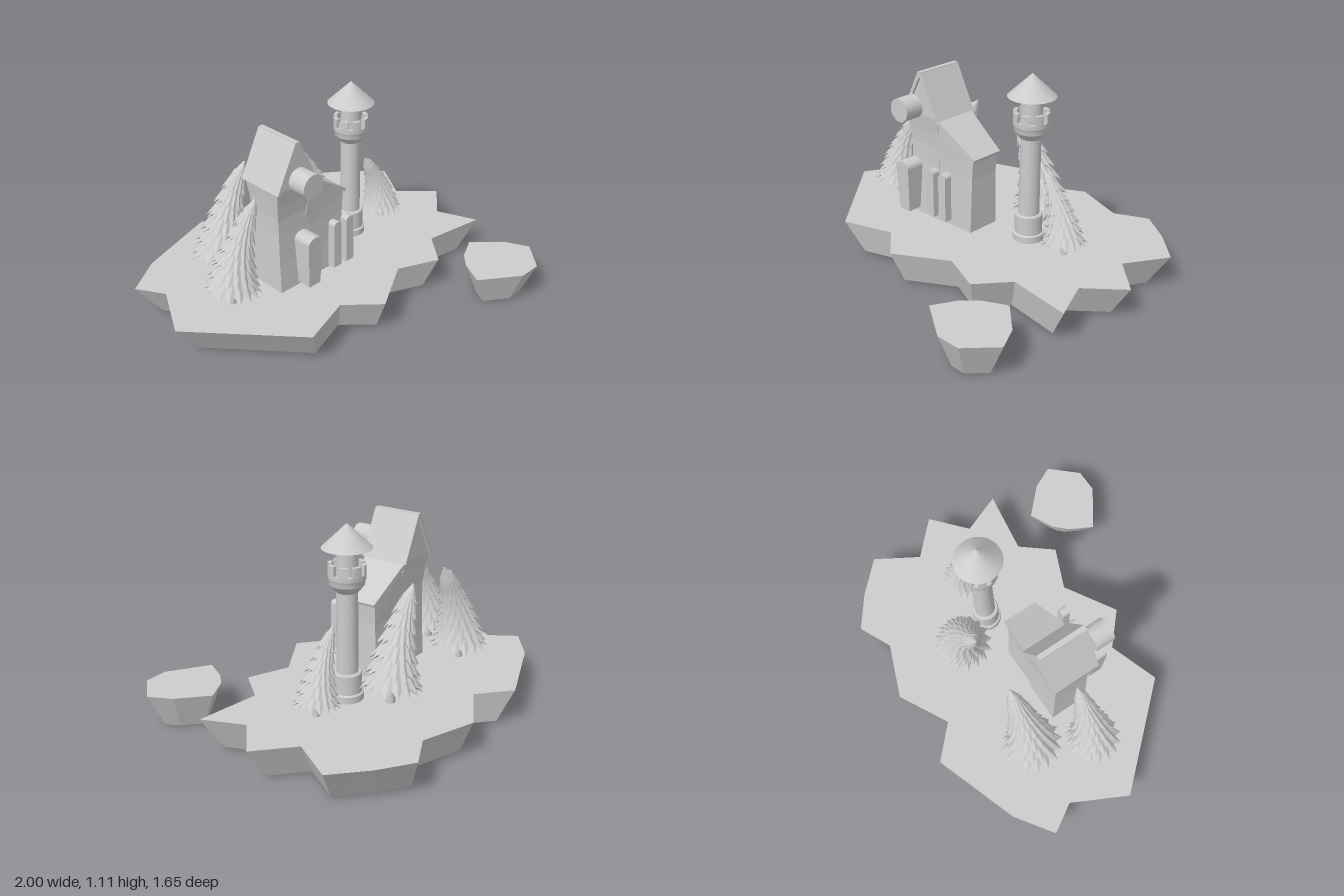
import * as THREE from 'three';
import { toCreasedNormals } from 'three/addons/utils/BufferGeometryUtils.js';

const grey = new THREE.MeshStandardMaterial({ color: 0xcccccc });
grey.name = 'stone grey';
const GROUND = 0.192;

function part(name, geometry, parent) {
  const mesh = new THREE.Mesh(geometry, grey);
  mesh.name = name;
  parent.add(mesh);
  return mesh;
}

// Flat-faced skin through matching rings of [x, y, z], capped at both ends
function loft(rings) {
  const pos = [];
  const tri = (a, b, c) => pos.push(...a, ...b, ...c);
  for (let r = 0; r + 1 < rings.length; r++) {
    const lo = rings[r], hi = rings[r + 1];
    lo.forEach((p, i) => {
      const j = (i + 1) % lo.length;
      tri(p, hi[i], lo[j]);
      tri(hi[i], hi[j], lo[j]);
    });
  }
  const cap = (ring, up) => {
    const flat = ring.map((p) => new THREE.Vector2(p[0], p[2]));
    for (const [i, j, k] of THREE.ShapeUtils.triangulateShape(flat, [])) {
      const [a, b, c] = [ring[i], ring[j], ring[k]];
      const ny = (b[2] - a[2]) * (c[0] - a[0]) - (b[0] - a[0]) * (c[2] - a[2]);
      if ((ny > 0) === up) tri(a, b, c); else tri(a, c, b);
    }
  };
  cap(rings[0], false);
  cap(rings[rings.length - 1], true);
  const g = new THREE.BufferGeometry();
  g.setAttribute('position', new THREE.Float32BufferAttribute(pos, 3));
  g.computeVertexNormals();
  return g;
}

const rect = (cx, y, cz, hx, hz) =>
  [[-1, -1], [1, -1], [1, 1], [-1, 1]].map(([a, b]) => [cx + a * hx, y, cz + b * hz]);

function extrude(points, z0, z1) {
  const shape = new THREE.Shape(points.map(([x, y]) => new THREE.Vector2(x, y)));
  return new THREE.ExtrudeGeometry(shape, { depth: z1 - z0, bevelEnabled: false }).translate(0, 0, z0);
}

// Rock slab: the outline shrinks toward its underside
function rock(name, outline, yLow, yHigh, scale, offset, parent) {
  part(name, loft([
    outline.map(([x, z]) => [x * scale[0] + offset[0], yLow, z * scale[1] + offset[1]]),
    outline.map(([x, z]) => [x, yHigh, z]),
  ]), parent);
}

// Arched panel, optionally narrowing toward its foot in width and depth
function arch(name, cx, halfWidth, y0, y1, rise, z0, z1, foot, parent) {
  const pts = [[-halfWidth, y0], [halfWidth, y0]];
  for (let i = 0; i <= 12; i++) {
    const a = (i / 12) * Math.PI;
    pts.push([halfWidth * Math.cos(a), y1 - rise + rise * Math.sin(a)]);
  }
  const g = extrude(pts, z0, z1), p = g.attributes.position, mid = (z0 + z1) / 2;
  for (let i = 0; i < p.count; i++) {
    const s = THREE.MathUtils.lerp(foot, 1, Math.min(1, (p.getY(i) - y0) / (y1 - rise - y0)));
    p.setX(i, cx + p.getX(i) * s);
    p.setZ(i, mid + (p.getZ(i) - mid) * s);
  }
  g.computeVertexNormals();
  part(name, g, parent);
}

function makeHouse(parent) {
  const house = new THREE.Group();
  house.name = 'house';
  parent.add(house);
  const cx = -0.305, cz = -0.068;

  // Walls pinch at the waist and flare under the eaves
  const profile = [[GROUND, 0.11, 0.112], [0.35, 0.107, 0.104], [0.52, 0.105, 0.1],
    [0.62, 0.107, 0.1], [0.7, 0.115, 0.108], [0.79, 0.126, 0.122]];
  part('mainWalls', loft(profile.map(([y, hx, hz]) => rect(cx, y, cz, hx, hz))), house);
  part('gable', extrude([[cx - 0.126, 0.789], [cx + 0.126, 0.789], [cx, 1.012]], cz - 0.122, cz + 0.122), house);
  part('mainRoof', extrude([[cx - 0.135, 0.785], [cx - 0.12, 0.782], [cx, 1.008], [cx + 0.12, 0.782],
    [cx + 0.135, 0.785], [cx + 0.014, 1.03], [cx - 0.014, 1.03]], -0.205, 0.069), house);
  part('ridge', new THREE.BoxGeometry(0.028, 0.01, 0.274).translate(cx, 1.028, cz), house);

  // Lean-to annex with a sloping, tapering roof
  const sloped = (xl, xr, yl, yr, zl, zr) => [[xl, yl, cz - zl], [xr, yr, cz - zr], [xr, yr, cz + zr], [xl, yl, cz + zl]];
  part('annexWalls', loft([
    sloped(-0.24, 0.04, GROUND, GROUND, 0.104, 0.1),
    sloped(-0.24, 0.042, 0.5, 0.5, 0.098, 0.09),
    sloped(-0.2, 0.05, 0.775, 0.612, 0.112, 0.092),
  ]), house);
  part('annexRoof', loft([
    sloped(-0.2, 0.06, 0.775, 0.608, 0.126, 0.098),
    sloped(-0.19, 0.066, 0.795, 0.624, 0.126, 0.098),
  ]), house);

  // Door, clock drum and windows stand clear of the front wall
  arch('door', -0.313, 0.048, 0.268, 0.558, 0.035, 0.095, 0.2, 0.78, house);
  for (const x of [-0.128, -0.039]) arch('window', x, 0.026, 0.288, 0.556, 0.02, 0.124, 0.168, 1, house);
  part('roundWindow', new THREE.CylinderGeometry(0.065, 0.065, 0.108, 32).rotateX(Math.PI / 2), house)
    .position.set(-0.323, 0.848, 0.146);
}

function makeTower(parent) {
  const tower = new THREE.Group();
  tower.name = 'tower';
  tower.position.set(0.288, 0, -0.157);
  parent.add(tower);
  const profile = [[0, GROUND], [0.084, GROUND], [0.084, 0.228], [0.074, 0.234], [0.074, 0.335], [0.069, 0.342],
    [0.056, 0.342], [0.054, 0.768], [0.062, 0.775], [0.088, 0.808], [0.092, 0.835], [0.095, 0.84], [0.095, 0.865],
    [0.075, 0.865], [0.075, 0.85], [0.056, 0.85], [0.056, 1.0]];
  const body = new THREE.LatheGeometry(profile.map(([x, y]) => new THREE.Vector2(x, y)), 32);
  part('shaft', toCreasedNormals(body, 0.5), tower);
  part('coneRoof', new THREE.ConeGeometry(0.127, 0.122, 32), tower).position.y = 1.053;

  // Battlements around the lookout
  const count = 8, half = 0.25;
  const block = new THREE.Shape();
  block.absarc(0, 0, 0.095, -half, half, false);
  block.absarc(0, 0, 0.075, half, -half, true);
  for (let i = 0; i < count; i++) {
    const g = new THREE.ExtrudeGeometry(block, { depth: 0.05, bevelEnabled: false, curveSegments: 4 });
    g.rotateX(-Math.PI / 2).rotateY(((i + 0.5) / count) * Math.PI * 2);
    part('battlement', g, tower).position.y = 0.863;
  }
}

// One skirt of folded, pointed needles
function needles(radius, topRadius, height, turn) {
  const teeth = 16, ring = (f) => Array.from({ length: teeth * 2 }, (_, i) => {
    const a = (i / teeth) * Math.PI + turn, [r, y] = f(i % 2);
    return [r * Math.cos(a), y, r * Math.sin(a)];
  });
  return loft([
    ring(() => [0.012, height * 0.4]),
    ring((odd) => (odd ? [radius * 0.78, height * 0.26] : [radius, 0])),
    ring(() => [topRadius, height]),
  ]);
}

// Pine whose tiers follow a stem that bows sideways
function makeTree(x, z, side, scale, parent) {
  const tree = new THREE.Group();
  tree.name = 'tree';
  tree.position.set(x, GROUND, z);
  tree.scale.setScalar(scale);
  parent.add(tree);
  part('trunk', new THREE.CylinderGeometry(0.02, 0.026, 0.16, 10), tree).position.y = 0.08;
  const tiers = 7, H = 0.58, lean = 0.2 * side;
  for (let i = 0; i < tiers; i++) {
    const y = 0.075 + 0.07 * i, t = y / H, r = 0.165 - 0.0195 * i;
    const last = i === tiers - 1;
    const tier = part('needleTier', needles(r, last ? 0.004 : r * 0.42, last ? 0.095 : 0.125, i * 0.11), tree);
    tier.position.set(lean * t * t, y, 0);
    tier.rotation.z = -Math.atan((2 * lean * t) / H);
  }
}

export function createModel() {
  const model = new THREE.Group();
  model.name = 'islandVillage';

  rock('mainIsland', [[-1, -0.08], [-0.85, -0.37], [-0.94, -0.52], [-0.74, -0.66], [-0.275, -0.825],
    [-0.11, -0.67], [0.16, -0.815], [0.45, -0.705], [0.63, -0.79], [0.8, -0.665], [0.96, -0.505],
    [0.82, -0.275], [1, -0.1], [0.81, 0.065], [0.9, 0.29], [0.55, 0.24], [0.41, 0.41], [0.185, 0.315],
    [-0.1, 0.485], [-0.27, 0.33], [-0.55, 0.425]], 0.01, GROUND, [0.875, 0.885], [0.01, -0.02], model);
  rock('smallIsland', [[0.675, 0.415], [0.82, 0.555], [0.88, 0.68], [0.745, 0.825], [0.615, 0.825],
    [0.405, 0.68], [0.475, 0.55], [0.545, 0.48]], 0, GROUND, [0.61, 0.615], [0.253, 0.245], model);

  makeHouse(model);
  makeTower(model);
  makeTree(-0.645, -0.075, 1, 0.93, model);
  makeTree(-0.487, -0.365, 1, 1, model);
  makeTree(0.205, -0.365, -1, 1, model);
  makeTree(0.54, -0.15, -1, 0.74, model);
  return model;
}
